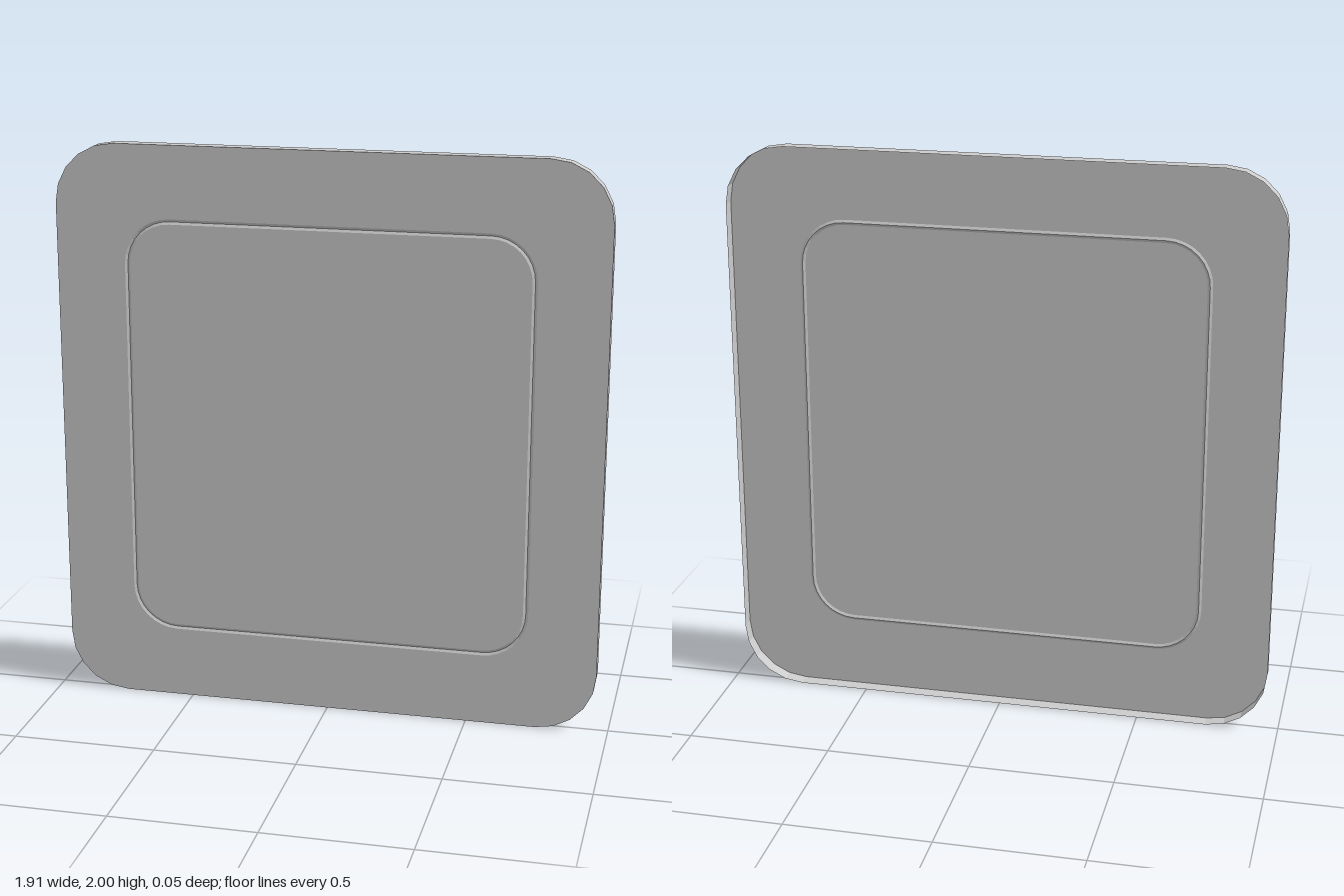
import * as THREE from 'three';

const WIDTH = 1.91, HEIGHT = 2, HALF = 0.025, GROOVE = 0.005;

// Counter-clockwise outline of a rounded rectangle centred on the plate
function roundedLoop(w, h, r, steps) {
  const pts = [];
  const corners = [[1, 1], [-1, 1], [-1, -1], [1, -1]];
  corners.forEach(([sx, sy], q) => {
    for (let i = 0; i <= steps; i++) {
      const a = (q + i / steps) * Math.PI / 2;
      pts.push(new THREE.Vector2(
        sx * (w / 2 - r) + r * Math.cos(a),
        HEIGHT / 2 + sy * (h / 2 - r) + r * Math.sin(a)));
    }
  });
  return pts;
}

// Band of quads joining two outlines at different depths
function band(a, za, b, zb) {
  const pos = [];
  a.forEach((p, i) => {
    const j = (i + 1) % a.length;
    const A = [p.x, p.y, za], B = [a[j].x, a[j].y, za];
    const C = [b[j].x, b[j].y, zb], D = [b[i].x, b[i].y, zb];
    pos.push(...A, ...B, ...C, ...A, ...C, ...D);
  });
  const g = new THREE.BufferGeometry();
  g.setAttribute('position', new THREE.Float32BufferAttribute(pos, 3));
  g.computeVertexNormals();
  return g;
}

export function createModel() {
  const model = new THREE.Group();
  model.name = 'panelPlate';
  const material = new THREE.MeshStandardMaterial({
    color: 0xcccccc, flatShading: true, side: THREE.DoubleSide,
  });
  const add = (name, geometry) => {
    const mesh = new THREE.Mesh(geometry, material);
    mesh.name = name;
    model.add(mesh);
  };

  const outline = roundedLoop(WIDTH, HEIGHT, 0.21, 5);
  const grooveOuter = roundedLoop(1.424, 1.494, 0.16, 8);
  const grooveFloor = roundedLoop(1.406, 1.476, 0.151, 8);
  const grooveInner = roundedLoop(1.388, 1.458, 0.142, 8);

  // Outer edge; the shell is open at the back
  add('rim', band(outline, -HALF, outline, HALF));

  // Front border around the groove
  const border = new THREE.Shape(outline);
  border.holes.push(new THREE.Path(grooveOuter));
  add('border', new THREE.ShapeGeometry(border).translate(0, 0, HALF));

  // Shallow V-shaped groove
  add('grooveOuterWall', band(grooveOuter, HALF, grooveFloor, HALF - GROOVE));
  add('grooveInnerWall', band(grooveFloor, HALF - GROOVE, grooveInner, HALF));

  // Flat centre inside the groove
  add('centrePanel', new THREE.ShapeGeometry(new THREE.Shape(grooveInner)).translate(0, 0, HALF));
  return model;
}
